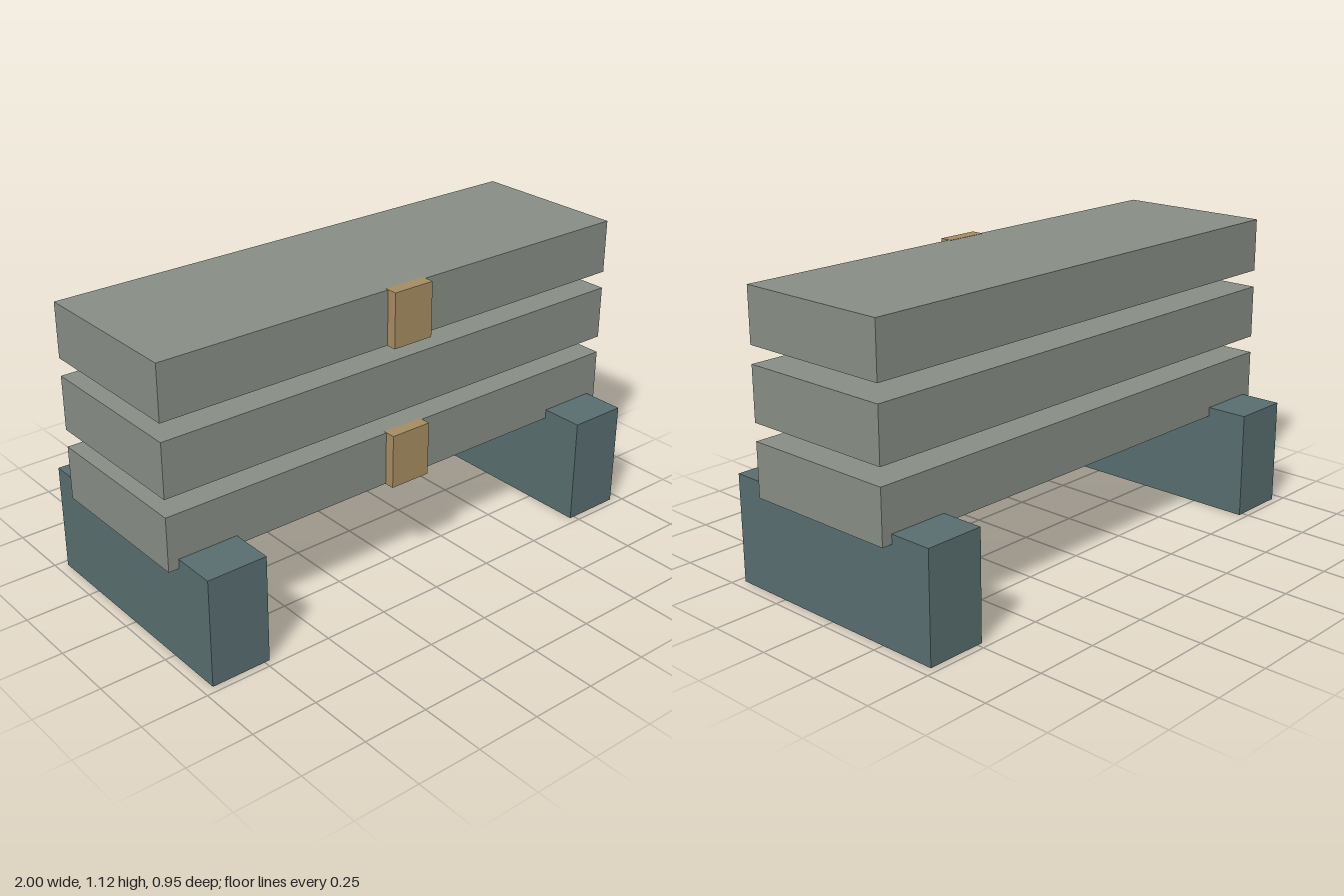
import * as THREE from 'three';

export function createModel() {
  const group = new THREE.Group();
  const material = (name, color) => {
    const m = new THREE.MeshStandardMaterial({ color });
    m.name = name;
    return m;
  };
  const stone = material('greyStone', 0x868c84);
  const slate = material('darkSlate', 0x586c6e);
  const tan = material('tan', 0xa48c60);

  // Box given by its size, centre x, bottom y and centre z
  const box = (name, mat, [w, h, d], x, y, z) => {
    const mesh = new THREE.Mesh(new THREE.BoxGeometry(w, h, d), mat);
    mesh.name = name;
    mesh.position.set(x, y + h / 2, z);
    group.add(mesh);
  };

  // Two bearers, running front to back
  for (const side of [-1, 1]) {
    box(side > 0 ? 'leftBearer' : 'rightBearer', slate, [0.23, 0.41, 0.946], side * 0.845, 0, 0);
  }

  // Three stacked slabs with gaps; the bottom and top ones carry a front tab
  const names = ['bottom', 'middle', 'top'];
  names.forEach((name, i) => {
    const y = 0.375 + i * 0.27;
    box(name + 'Slab', stone, [2, 0.204, 0.616], 0, y, 0);
    if (i !== 1) box(name + 'Tab', tan, [0.166, 0.206, 0.05], 0, y - 0.001, 0.321);
  });

  return group;
}
